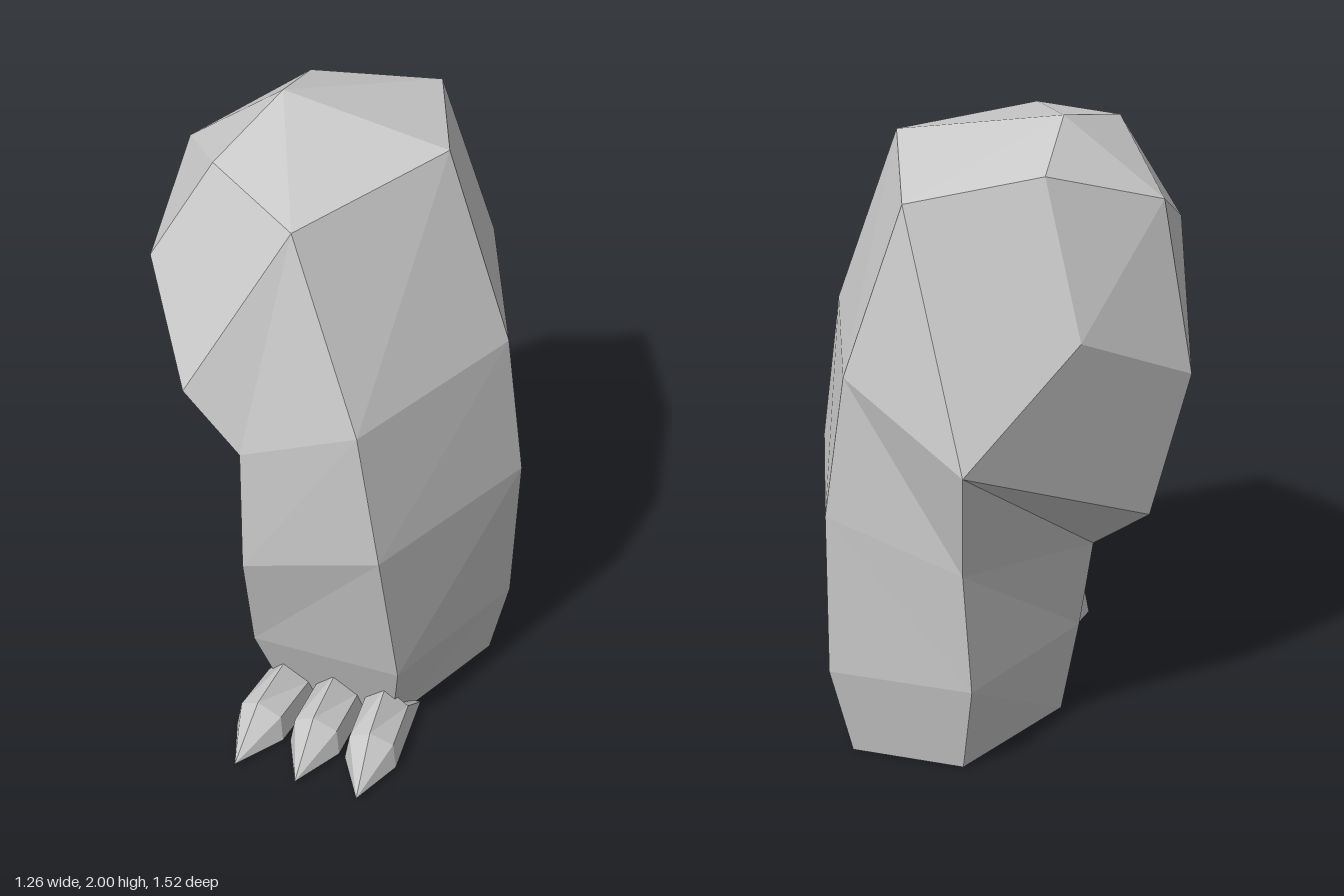
import * as THREE from 'three';

const material = new THREE.MeshStandardMaterial({ color: 0xcccccc, flatShading: true });

// Faceted mesh from corner points and convex polygons (counter-clockwise from outside)
function facetedMesh(name, points, faces) {
  const index = [];
  for (const f of faces) {
    for (let k = 1; k < f.length - 1; k++) index.push(f[0], f[k], f[k + 1]);
  }
  const indexed = new THREE.BufferGeometry();
  indexed.setAttribute('position', new THREE.Float32BufferAttribute(points.flat(), 3));
  indexed.setIndex(index);
  const geometry = indexed.toNonIndexed();
  geometry.computeVertexNormals();
  const mesh = new THREE.Mesh(geometry, material);
  mesh.name = name;
  return mesh;
}

// Six-sided leg: each ring runs left side, front left, front right, right side, back right, back left
function createLeg() {
  const rings = [
    [[0.53, 0, -0.1], [0.35, 0, 0.36], [-0.03, 0, 0.36], [-0.21, 0, -0.1], [-0.03, 0, -0.57], [0.34, 0, -0.57]],
    [[0.6, 0.3, -0.07], [0.405, 0.3, 0.47], [-0.09, 0.3, 0.47], [-0.26, 0.3, -0.07], [-0.08, 0.3, -0.63], [0.39, 0.3, -0.63]],
    [[0.63, 0.84, -0.03], [0.38, 0.84, 0.59], [-0.07, 0.7, 0.59], [-0.29, 0.57, -0.02], [-0.06, 0.7, -0.65], [0.38, 0.84, -0.65]],
    [[0.57, 1.32, -0.02], [0.31, 1.3, 0.6], [-0.07, 1.13, 0.59], [-0.51, 0.76, -0.16], [-0.1, 1.07, -0.76], [0.31, 1.3, -0.65]],
  ];
  // Knee and thigh corners, numbered 24 to 34
  const upper = [
    [0.34, 1.91, -0.08], [0.06, 1.88, 0.48], [-0.25, 1.32, 0.59], [-0.63, 1.24, -0.15],
    [-0.38, 1.43, -0.5], [0.13, 1.84, -0.61], [-0.47, 1.59, 0.32], [-0.52, 1.77, -0.1],
    [-0.28, 1.92, 0.26], [-0.24, 1.9, -0.41], [-0.2, 2, -0.09],
  ];
  const faces = [[0, 1, 2, 3, 4, 5]];
  // Lower leg walls, with diagonals mirrored front to back
  for (let r = 0; r < 3; r++) {
    for (let s = 0; s < 6; s++) {
      const a = r * 6 + s, b = r * 6 + (s + 1) % 6;
      faces.push(s < 3 ? [b, a, a + 6, b + 6] : [a, a + 6, b + 6, b]);
    }
  }
  faces.push(
    // outer side and front
    [19, 18, 24, 25], [23, 29, 24, 18], [20, 19, 25, 26], [26, 25, 32, 30],
    // overhanging bulge
    [20, 26, 21], [26, 30, 27, 21], [30, 31, 27], [30, 32, 31],
    // back
    [33, 28, 31], [31, 28, 27], [28, 22, 21, 27], [29, 22, 28, 33], [23, 22, 29],
    // top cap
    [34, 24, 29, 33], [34, 33, 31], [34, 31, 32], [34, 32, 25, 24],
  );
  return facetedMesh('leg', [...rings.flat(), ...upper], faces);
}

// Claw: two five-sided sections closing to a pointed tip
function createClaw(x, turn) {
  const section = (w, zBottom, zMid, zTop, top) => [
    [w, 0.015, zBottom], [w * 0.85, 0.1, zMid], [0, top, zTop], [-w * 0.85, 0.1, zMid], [-w, 0.015, zBottom],
  ];
  const points = [
    ...section(0.085, 0.27, 0.39, 0.41, 0.18),
    ...section(0.085, 0.59, 0.58, 0.6, 0.15),
    [0, 0.015, 0.76],
  ];
  points.forEach((p) => { p[2] -= 0.45; });
  const faces = [[4, 3, 2, 1, 0]];
  for (let i = 0; i < 5; i++) {
    const j = (i + 1) % 5;
    faces.push([i, j, j + 5, i + 5], [i + 5, j + 5, 10]);
  }
  const claw = facetedMesh('claw', points, faces);
  claw.position.set(x, 0, 0.45);
  claw.rotation.y = turn;
  return claw;
}

export function createModel() {
  const model = new THREE.Group();
  model.name = 'clawedLeg';
  model.add(createLeg());
  for (const side of [-1, 0, 1]) model.add(createClaw(0.168 + side * 0.178, side * 0.1));
  return model;
}
